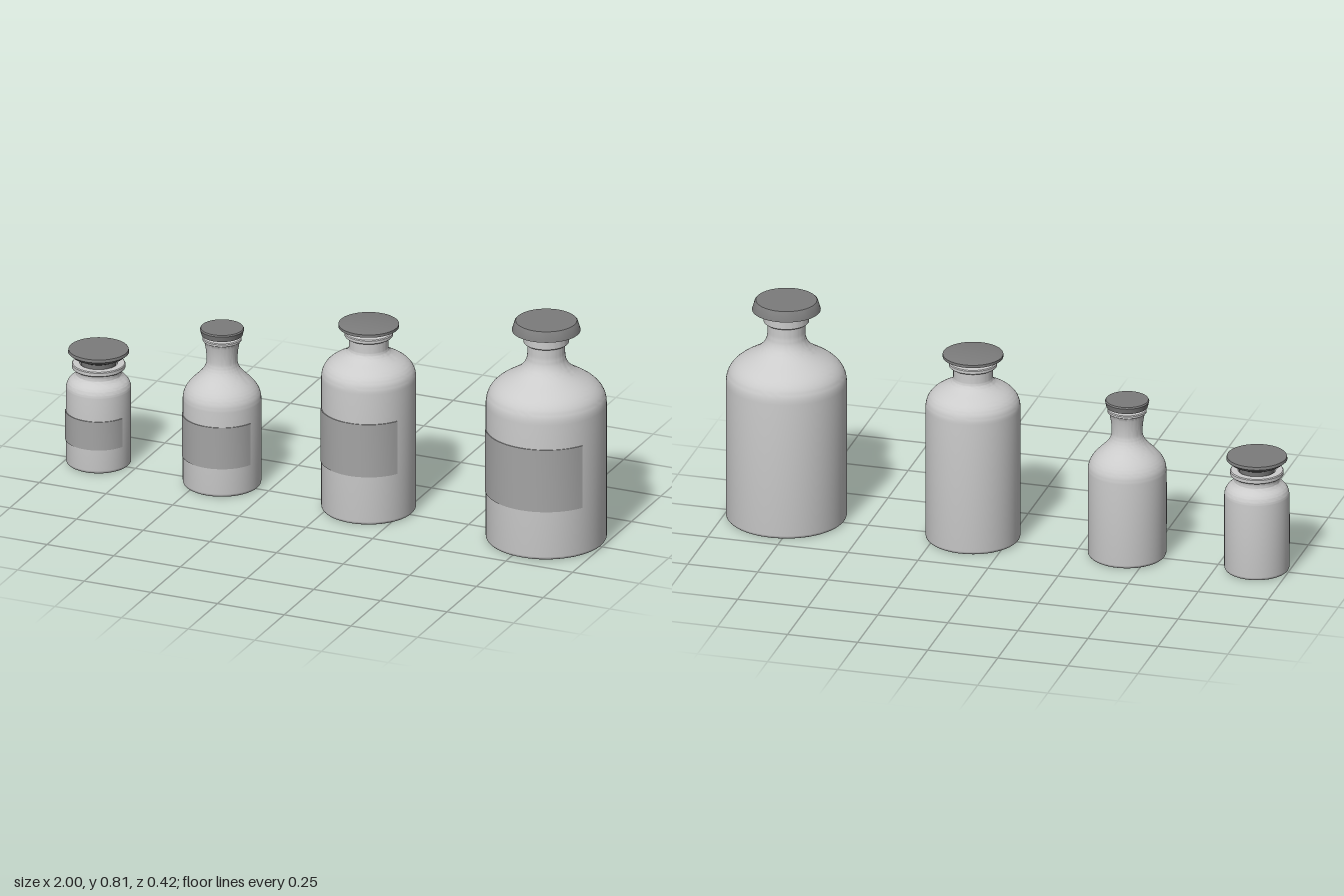
import * as THREE from 'three';
import { toCreasedNormals } from 'three/addons/utils/BufferGeometryUtils.js';

const SEGMENTS = 64;
const glass = new THREE.MeshStandardMaterial({ color: 0xcccccc });
const paper = new THREE.MeshStandardMaterial({ color: 0xa4a4a4, side: THREE.DoubleSide });
const dark = new THREE.MeshStandardMaterial({ color: 0x7c7c7c });

const point = (r, y) => new THREE.Vector2(r, y);

function turned(name, points, material, start = 0, sweep = Math.PI * 2) {
  const segments = Math.ceil(SEGMENTS * sweep / (Math.PI * 2));
  const geometry = new THREE.LatheGeometry(points, segments, start, sweep);
  const mesh = new THREE.Mesh(toCreasedNormals(geometry, 0.6), material);
  mesh.name = name;
  return mesh;
}

// Radii: body, neck, neckTop (under the lip), plug.
// shoulder: heights of the four Bezier handles; lip: radius, bottom, top;
// cap: outline as radius, height; label: bottom, top, half angle.
const bottles = {
  smallWideJar: {
    x: -0.888, body: 0.112, neck: 0.078, neckTop: 0.08, plug: 0.061,
    shoulder: [0.275, 0.317, 0.317, 0.335], lip: [0.092, 0.352, 0.37],
    cap: [[0.063, 0.385], [0.09, 0.398], [0.105, 0.411], [0.103, 0.421]],
    label: [0.09, 0.195, 1.2],
  },
  conicalBottle: {
    x: -0.425, body: 0.135, neck: 0.053, neckTop: 0.062, plug: 0.041,
    shoulder: [0.315, 0.385, 0.4, 0.46], lip: [0.067, 0.529, 0.542],
    cap: [[0.042, 0.549], [0.071, 0.552], [0.076, 0.572], [0.073, 0.577]],
    label: [0.107, 0.26, 1.2],
  },
  mediumBottle: {
    x: 0.125, body: 0.163, neck: 0.068, neckTop: 0.068, plug: 0.053,
    shoulder: [0.485, 0.565, 0.56, 0.6], lip: [0.083, 0.638, 0.654],
    cap: [[0.054, 0.671], [0.104, 0.673], [0.104, 0.683], [0.075, 0.689]],
    label: [0.18, 0.375, Math.PI / 3],
  },
  largeBottle: {
    x: 0.791, body: 0.208, neck: 0.065, neckTop: 0.065, plug: 0.055,
    shoulder: [0.5, 0.61, 0.59, 0.69], lip: [0.078, 0.725, 0.76],
    cap: [[0.056, 0.77], [0.118, 0.771], [0.109, 0.802], [0.105, 0.806]],
    label: [0.18, 0.41, Math.PI / 3],
  },
};

function glassProfile({ body, neck, neckTop, plug, shoulder, lip }) {
  const points = [point(0, 0)];

  // Rounded foot
  const foot = 0.013;
  for (let i = 0; i <= 5; i++) {
    const a = (i / 5) * Math.PI / 2;
    points.push(point(body - foot + foot * Math.sin(a), foot - foot * Math.cos(a)));
  }

  // Shoulder sweeping in from the body to the neck
  const [y0, y1, y2, y3] = shoulder;
  const curve = new THREE.CubicBezierCurve(point(body, y0), point(body, y1), point(neck, y2), point(neck, y3));
  points.push(...curve.getPoints(28));

  // Neck, flaring gently up to the lip
  const [lipRadius, lipLow, lipHigh] = lip;
  for (let i = 1; i <= 6; i++) {
    const t = i / 6;
    points.push(point(neck + (neckTop - neck) * t * t, y3 + (lipLow - y3) * t));
  }

  // Lip with softened edges, then the bore closed inside the mouth
  const soft = 0.003, bore = plug + 0.004;
  points.push(
    point(lipRadius - soft, lipLow), point(lipRadius, lipLow + soft),
    point(lipRadius, lipHigh - soft), point(lipRadius - soft, lipHigh),
    point(bore, lipHigh), point(bore, lipHigh - 0.05), point(0, lipHigh - 0.05),
  );
  return points;
}

function stopperProfile({ plug, lip, cap }) {
  const plugBase = lip[2] - 0.06;
  const outline = cap.map(([r, y]) => point(r, y));
  return [
    point(0, plugBase), point(plug * 0.88, plugBase), point(plug, lip[2]),
    ...outline, point(0, outline[outline.length - 1].y),
  ];
}

// Thin closed band wrapped around the front of the body
function labelProfile({ body, label: [low, high] }) {
  const inner = body - 0.001, outer = body + 0.003;
  return [point(inner, low), point(outer, low), point(outer, high), point(inner, high), point(inner, low)];
}

export function createModel() {
  const model = new THREE.Group();
  model.name = 'stopperedBottles';
  for (const [name, spec] of Object.entries(bottles)) {
    const bottle = new THREE.Group();
    bottle.name = name;
    bottle.position.x = spec.x;
    const half = spec.label[2];
    bottle.add(
      turned('glassBody', glassProfile(spec), glass),
      turned('stopper', stopperProfile(spec), dark),
      turned('label', labelProfile(spec), paper, -half, half * 2),
    );
    model.add(bottle);
  }
  return model;
}
